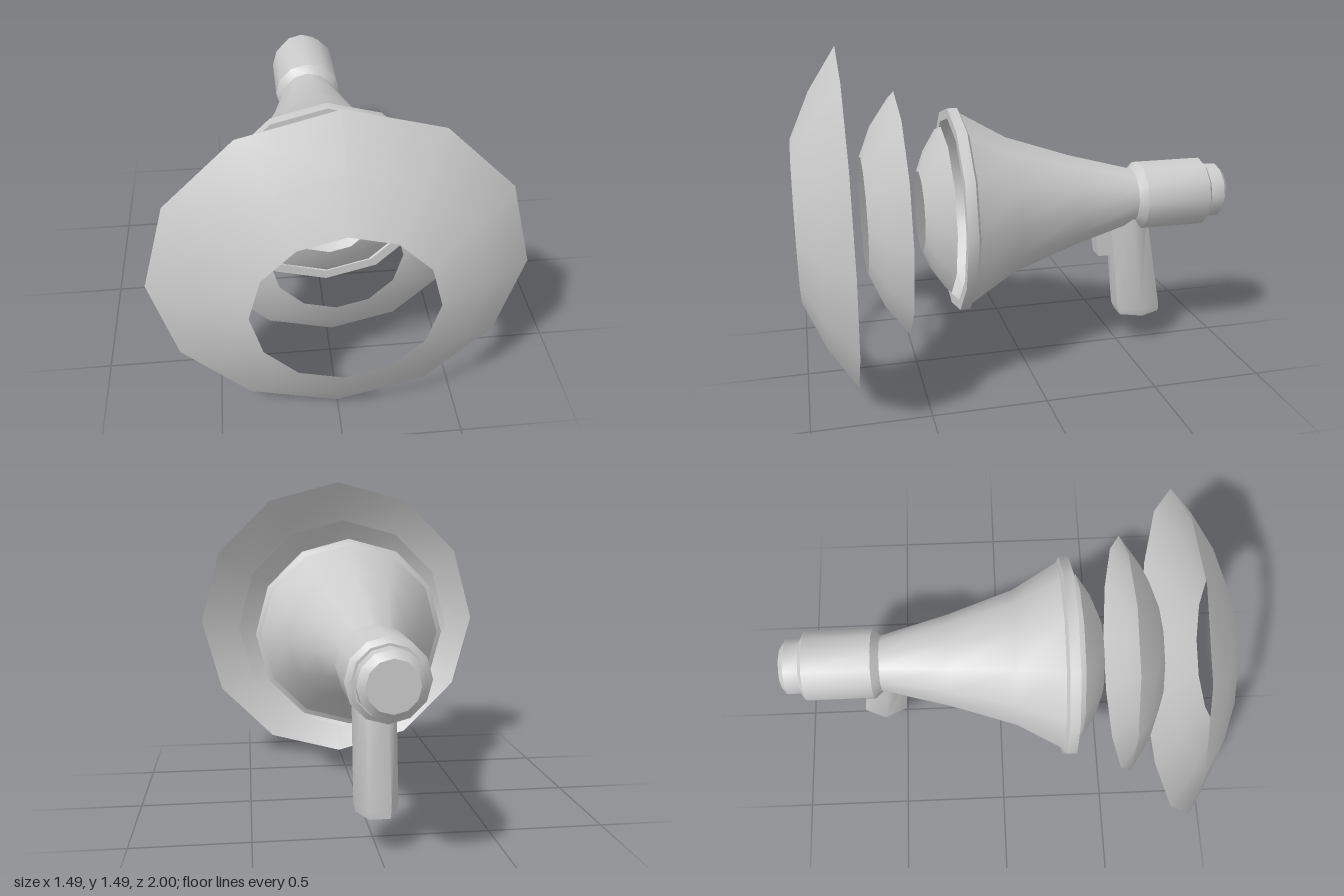
import * as THREE from 'three';
import { toCreasedNormals } from 'three/addons/utils/BufferGeometryUtils.js';

const AXIS_Y = 0.745;

export function createModel() {
  const model = new THREE.Group();
  model.name = 'megaphone';
  const grey = new THREE.MeshStandardMaterial({ color: 0xcccccc, side: THREE.DoubleSide });
  grey.name = 'light grey';

  function add(name, geometry, y = 0, z = 0) {
    const mesh = new THREE.Mesh(geometry, grey);
    mesh.name = name;
    mesh.position.set(0, y, z);
    model.add(mesh);
    return mesh;
  }

  // Turned part around the horn's axis; profile is [radius, z] pairs
  function turned(name, profile, sides = 12, crease = 0.6) {
    const points = profile.map(([r, z]) => new THREE.Vector2(r, z));
    const geometry = new THREE.LatheGeometry(points, sides);
    geometry.rotateX(Math.PI / 2);
    return add(name, toCreasedNormals(geometry, crease), AXIS_Y);
  }

  // Sound waves: three thin flared rings, widening towards the front
  turned('smallSoundWave', [[0.38, 0.355], [0.28, 0.42], [0.183, 0.46]]);
  turned('middleSoundWave', [[0.545, 0.555], [0.41, 0.65], [0.265, 0.71]]);
  turned('largeSoundWave', [[0.745, 0.79], [0.56, 0.91], [0.358, 1.0]]);

  // Horn: flared outside, thick rim, hollow inside with a flat back
  turned('horn', [
    [0.13, -0.56], [0.13, -0.545], [0.215, -0.235], [0.317, 0.065], [0.435, 0.268],
  ]);
  turned('hornRim', [
    [0.435, 0.268], [0.46, 0.28], [0.46, 0.325], [0.415, 0.325], [0.4, 0.27],
  ]);
  turned('hornInside', [
    [0.4, 0.27], [0.29, 0.065], [0.19, -0.235], [0.142, -0.38], [0, -0.38],
  ]);

  // Speaker core inside the horn, six-sided with a rounded tip
  const core = new THREE.LatheGeometry([
    [0.07, -0.38], [0.07, -0.1], [0.052, -0.06], [0.03, -0.04], [0, -0.03],
  ].map(([r, z]) => new THREE.Vector2(r, z)), 6);
  core.rotateX(Math.PI / 2).rotateZ(Math.PI / 6);
  add('speakerCore', core, AXIS_Y);

  // Rear housing and end cap
  turned('housing', [
    [0, -0.905], [0.14, -0.905], [0.163, -0.888], [0.163, -0.58], [0.13, -0.545],
  ]);
  turned('endCap', [
    [0, -1.0], [0.1, -1.0], [0.13, -0.975], [0.13, -0.9],
  ]);

  // Six-sided handle, leaning backwards and widening slightly to the foot
  const handle = new THREE.CylinderGeometry(1, 1, 1, 6, 2);
  handle.rotateY(Math.PI / 6);
  const p = handle.attributes.position;
  const levels = [[0.15, -0.6, 0.085, 0.1], [0.185, -0.593, 0.092, 0.107], [0.67, -0.525, 0.092, 0.09]];
  for (let i = 0; i < p.count; i++) {
    const [y, z, halfWidth, halfDepth] = levels[Math.round((p.getY(i) + 0.5) * 2)];
    p.setXYZ(i, p.getX(i) * halfWidth, y, z + (p.getZ(i) / 0.866) * halfDepth);
  }
  add('handle', toCreasedNormals(handle, 1.1));

  // Trigger in front of the handle
  const trigger = new THREE.Shape();
  [[-0.365, 0.62], [-0.365, 0.57], [-0.382, 0.465], [-0.447, 0.465], [-0.447, 0.62]].forEach(([z, y], i) =>
    i ? trigger.lineTo(-z, y) : trigger.moveTo(-z, y));
  const triggerGeometry = new THREE.ExtrudeGeometry(trigger, { depth: 0.08, bevelEnabled: false });
  triggerGeometry.translate(0, 0, -0.04).rotateY(Math.PI / 2);
  add('trigger', triggerGeometry);

  return model;
}
